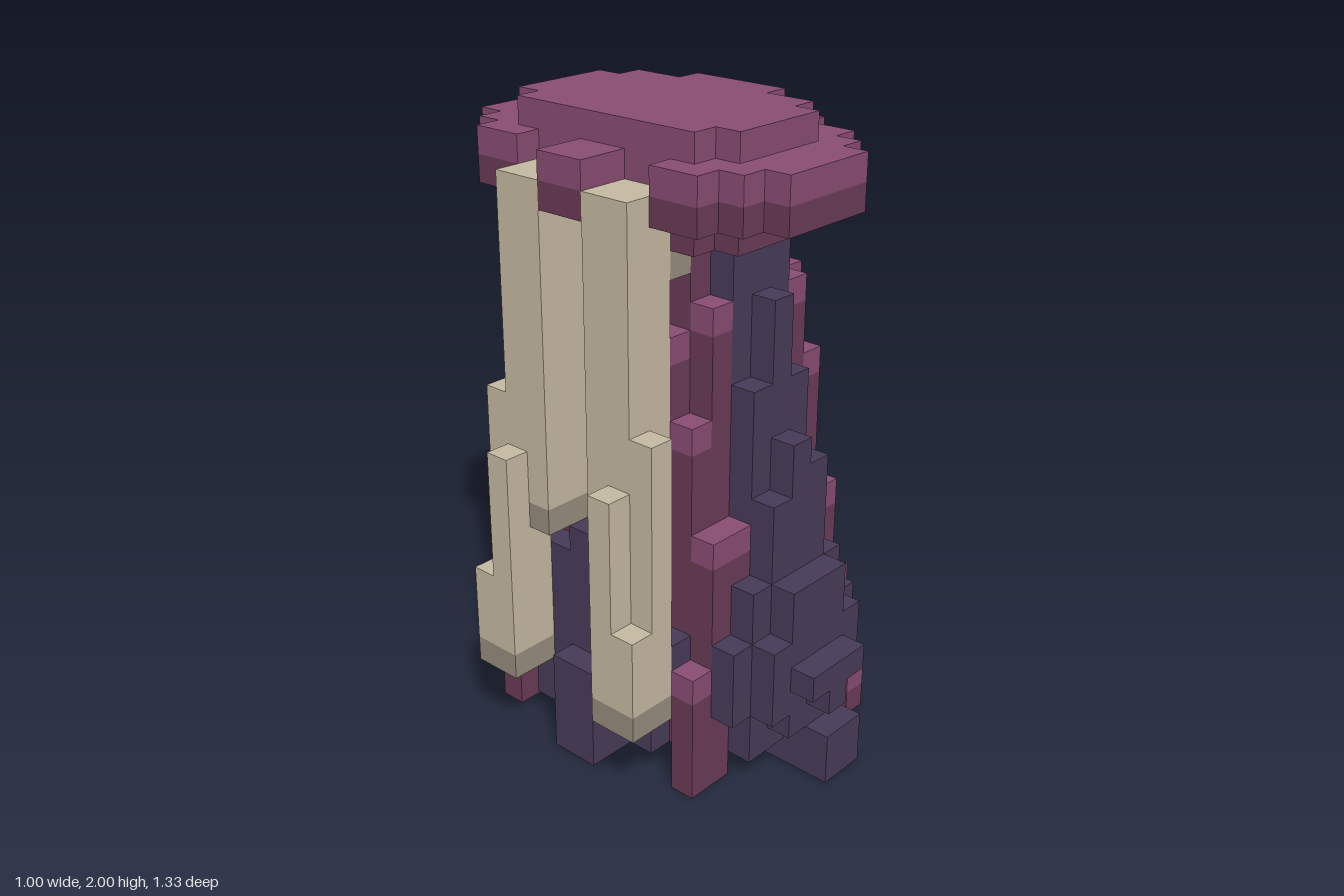
import * as THREE from 'three';

const U = 1 / 12; // one block

const material = (name, color) => {
  const m = new THREE.MeshStandardMaterial({ color });
  m.name = name;
  return m;
};

export function createModel() {
  const dark = material('dark violet bark', 0x463a57);
  const maroon = material('maroon root', 0x683a55);
  const pink = material('pink cap', 0x884c72);
  const beige = material('pale drip', 0xc4b8a0);
  const taupe = material('drip tip', 0x958b7b);

  const model = new THREE.Group();
  model.name = 'cappedStump';
  const part = (name) => {
    const g = new THREE.Group();
    g.name = name;
    model.add(g);
    return g;
  };

  // Block spanning [x0, x1] x [y0, y1] x [z0, z1] in block units
  const block = (parent, name, mat, x0, x1, y0, y1, z0, z1) => {
    const g = new THREE.BoxGeometry((x1 - x0) * U, (y1 - y0) * U, (z1 - z0) * U);
    g.translate((x0 + x1) * U / 2, (y0 + y1) * U / 2, (z0 + z1) * U / 2);
    const mesh = new THREE.Mesh(g, mat);
    mesh.name = name;
    parent.add(mesh);
  };
  // The same block at front and back
  const pair = (parent, name, mat, x0, x1, y0, y1, z0, z1) => {
    block(parent, name, mat, x0, x1, y0, y1, z0, z1);
    block(parent, name, mat, x0, x1, y0, y1, -z1, -z0);
  };

  // Cap: rows of [x0, x1, z0, z1], mirrored in z
  const brim = [[-5, 5, 0, 1], [-3, 5, 1, 3], [-4, 4, 3, 5], [-3, 3, 5, 6], [-2, 2, 6, 7]];
  const crown = [[-3, 4, 0, 2], [-3, 3, 2, 4], [-2, 2, 4, 5]];
  const cap = part('cap');
  const layer = (name, mat, rows, y) => rows.forEach(([x0, x1, z0, z1]) =>
    pair(cap, name, mat, x0, x1, y, y + 1, z0, z1));
  layer('collar', maroon, crown, 20);
  layer('brimUnderside', maroon, brim, 21);
  layer('brim', pink, brim, 22);
  layer('crown', pink, crown, 23);

  // Core of the trunk
  const trunk = part('trunk');
  block(trunk, 'core', dark, -1, 2, 1, 20, -3, 3);
  block(trunk, 'crossCore', dark, -2, 3, 1, 20, -1, 1);

  // Stepped bark at front and back: [x0, x1, y0, y1, z0, z1]
  const bark = part('frontAndBackBark');
  [
    [-1, 2, 1, 20, 3, 4],
    [0, 1, 8, 18, 4, 5], [-1, 2, 8, 15, 4, 5], [-2, 3, 1, 8, 4, 5],
    [0, 1, 8, 13, 5, 6], [1, 2, 8, 12, 5, 6], [-1, 0, 8, 11, 5, 6],
    [-2, 3, 1, 8, 5, 6], [-3, -2, 3, 6, 5, 6], [3, 4, 3, 6, 5, 6],
    [-1, 2, 2, 8, 6, 7], [-2, -1, 3, 6, 6, 7], [2, 3, 3, 6, 6, 7],
    [-1, 2, 4, 5, 7, 8], [0, 1, 3, 4, 7, 8],
    [0, 2, 0, 2, 6, 8], [0, 2, 0, 1, 5, 6],
  ].forEach((b) => pair(bark, 'barkStep', dark, ...b));

  // Stepped bark on the two sides, mirrored in z
  const sides = part('sideBark');
  [
    [3, 4, 1, 20, 0, 1], [3, 4, 1, 16, 1, 2], [3, 4, 1, 9, 2, 3],
    [4, 5, 1, 15, 0, 1], [4, 5, 1, 12, 1, 2], [4, 5, 1, 9, 2, 3], [4, 5, 3, 8, 3, 4],
    [5, 6, 0, 7, 0, 1], [5, 6, 4, 5, 1, 2], [4, 5, 0, 1, 0, 1],
    [-3, -2, 1, 19, 0, 1], [-3, -2, 1, 16, 1, 2],
    [-4, -3, 1, 9, 0, 1], [-4, -3, 1, 8, 1, 3], [-4, -3, 3, 6, 3, 4],
    [-5, -3, 0, 1, 0, 1], [-5, -4, 1, 4, 0, 1],
  ].forEach((b) => pair(sides, 'barkStep', dark, ...b));

  // Corner roots: columns [x, z, bottom, top, pink tip]
  const roots = part('cornerRoots');
  [
    [2, 1, 1, 20], [2, 2, 1, 20], [2, 3, 1, 18, 1], [3, 2, 9, 18, 1],
    [3, 3, 0, 15, 1], [3, 4, 0, 10, 1], [4, 4, 0, 6, 1], [4, 5, 0, 2, 1],
    [-2, 1, 1, 20], [-2, 2, 1, 20], [-2, 3, 1, 18, 1], [-3, 2, 1, 17, 1],
    [-3, 3, 1, 14, 1], [-3, 4, 0, 10, 1], [-2, 4, 8, 10, 1], [-4, 4, 0, 5, 1],
  ].forEach(([x, z, y0, y1, tip = 0]) => {
    pair(roots, 'root', maroon, x, x + 1, y0, y1 - tip, z, z + 1);
    if (tip) pair(roots, 'rootTip', pink, x, x + 1, y1 - 1, y1, z, z + 1);
  });

  // Pale drips hanging from the brim: [x0, x1, bottom, top, z0, z1]
  const drips = part('drips');
  [
    [-4, -3, 9, 22, 1, 3], [-5, -4, 9, 22, 1, 2], [-5, -4, 3, 22, 2, 3],
    [-5, -4, 3, 14, 3, 4], [-6, -5, 3, 12, 2, 3], [-6, -5, 3, 7, 3, 4],
  ].forEach(([x0, x1, y0, y1, z0, z1]) => {
    pair(drips, 'drip', beige, x0, x1, y0 + 1, y1, z0, z1);
    pair(drips, 'dripTip', taupe, x0, x1, y0, y0 + 1, z0, z1);
  });
  pair(drips, 'dripTip', taupe, -3, -2, 19, 20, 1, 3);

  return model;
}
